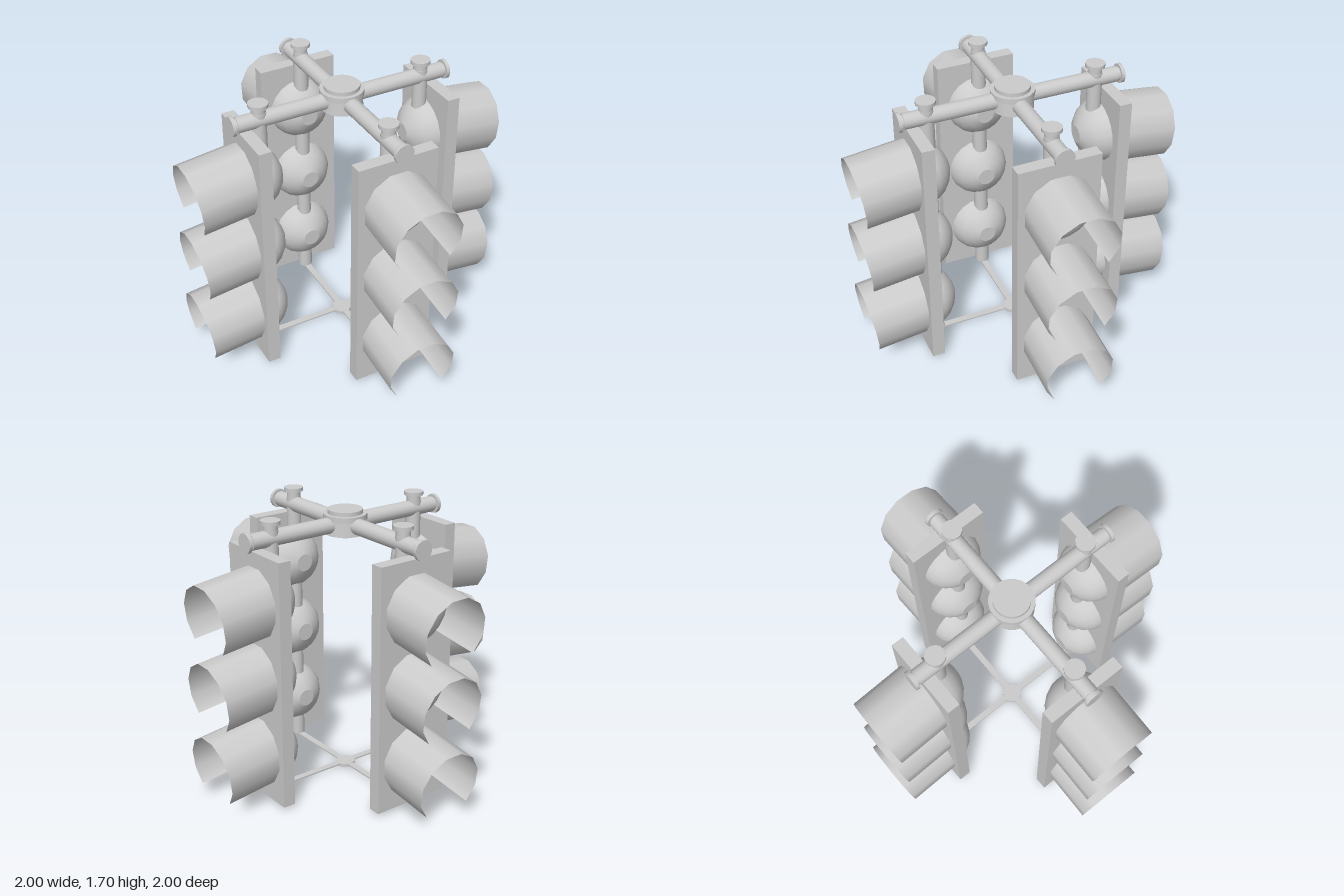
import * as THREE from 'three';

const grey = new THREE.MeshStandardMaterial({ color: 0xcccccc });
const thin = new THREE.MeshStandardMaterial({ color: 0xcccccc, side: THREE.DoubleSide });

function add(parent, name, geometry, x = 0, y = 0, z = 0, material = grey) {
  const mesh = new THREE.Mesh(geometry, material);
  mesh.name = name;
  mesh.position.set(x, y, z);
  parent.add(mesh);
  return mesh;
}

const disc = (r, h, n = 16) => new THREE.CylinderGeometry(r, r, h, n);

// Surface of revolution about z from [radius, z] pairs
function turned(profile, segments = 20) {
  const pts = profile.map(([r, z]) => new THREE.Vector2(r, z));
  return new THREE.LatheGeometry(pts, segments).rotateX(Math.PI / 2);
}

// One lamp: rear bowl, rim, domed lens and open-bottomed visor
function makeLamp() {
  const lamp = new THREE.Group();
  lamp.name = 'lamp';
  add(lamp, 'rearBowl', turned([[0.055, 0.415], [0.105, 0.438], [0.15, 0.475], [0.18, 0.52], [0.193, 0.575]]));
  add(lamp, 'rearBowlCap', turned([[0, 0.415], [0.055, 0.415]]));

  const hood = new THREE.Group();
  hood.name = 'tiltedHood';
  hood.position.z = 0.645;
  hood.rotation.x = THREE.MathUtils.degToRad(7);
  add(hood, 'lensRim', turned([[0.197, -0.04], [0.197, 0.04]]));
  add(hood, 'lens', turned([[0.197, 0.04], [0.175, 0.055], [0.14, 0.07], [0.08, 0.085], [0, 0.09]]));
  const length = 0.39;
  const visor = new THREE.CylinderGeometry(0.215, 0.215, length, 9, 1, true, Math.PI / 4, Math.PI * 1.5);
  visor.rotateX(Math.PI / 2);
  add(hood, 'visor', visor, 0, 0, 0.332 - length / 2, thin);
  lamp.add(hood);
  return lamp;
}

// Pipe end cap: narrow neck and wider disc, pointing up
function makeCap(name) {
  const cap = new THREE.Group();
  cap.name = name;
  add(cap, 'capNeck', disc(0.042, 0.05), 0, 0.02, 0);
  add(cap, 'capDisc', disc(0.059, 0.022), 0, 0.044, 0);
  return cap;
}

// One signal face with its pipes, facing +z
function makeSignal() {
  const signal = new THREE.Group();
  signal.name = 'signal';
  add(signal, 'backPanel', new THREE.BoxGeometry(0.5, 1.515, 0.078), 0, 0.7775, 0.605);
  for (const y of [0.303, 0.769, 1.235]) {
    const lamp = makeLamp();
    lamp.position.y = y;
    signal.add(lamp);
  }
  add(signal, 'uprightPipe', disc(0.045, 1.62), 0, 0.83, 0.525);
  add(signal, 'topArm', disc(0.048, 0.66).rotateX(Math.PI / 2), 0, 1.595, 0.335);
  const topCap = makeCap('topCap');
  topCap.position.set(0, 1.645, 0.525);
  const endCap = makeCap('endCap');
  endCap.position.set(0, 1.595, 0.645);
  endCap.rotation.x = Math.PI / 2;
  signal.add(topCap, endCap);
  add(signal, 'bottomStrap', new THREE.BoxGeometry(0.04, 0.01, 0.615), 0, 0.016, 0.3075);
  return signal;
}

export function createModel() {
  const model = new THREE.Group();
  model.name = 'fourWayTrafficLight';
  for (let i = 0; i < 4; i++) {
    const signal = makeSignal();
    signal.rotation.y = (i * Math.PI) / 2;
    model.add(signal);
  }
  // Central hub joining the arms, and the plate joining the straps
  add(model, 'hubBody', new THREE.CylinderGeometry(0.118, 0.125, 0.09, 24), 0, 1.58, 0);
  add(model, 'hubFlange', disc(0.13, 0.035, 24), 0, 1.637, 0);
  add(model, 'hubLid', disc(0.105, 0.025, 24), 0, 1.666, 0);
  add(model, 'hubUnderside', disc(0.08, 0.02, 24), 0, 1.53, 0);
  add(model, 'strapPlate', disc(0.06, 0.022), 0, 0.011, 0);
  return model;
}
